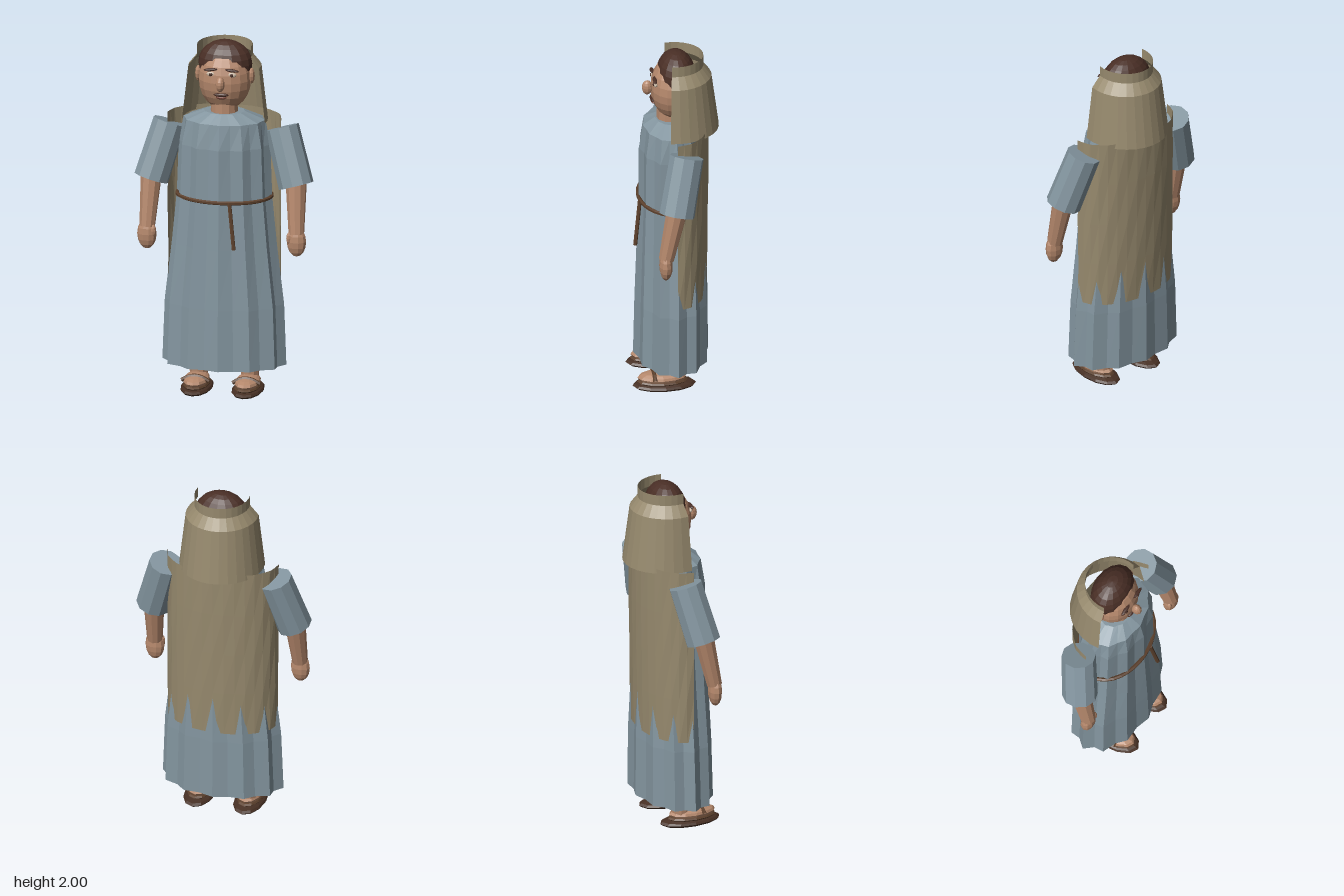
import * as THREE from 'three';

const mat = (color, side = THREE.FrontSide) =>
  new THREE.MeshStandardMaterial({ color, side, flatShading: true });
const robeMat = mat(0x8496a0, THREE.DoubleSide);
const clothMat = mat(0x978a6e, THREE.DoubleSide);
const skin = mat(0xb5886c);
const hairMat = mat(0x4a2f26);
const leather = mat(0x5c402c);
const soleMat = mat(0x473024);
const eyeMat = mat(0xc9b8a4);
const lipMat = mat(0x7d4a3c);

function add(parent, name, geo, material, pos = [0, 0, 0], scale = [1, 1, 1]) {
  const m = new THREE.Mesh(geo, material);
  m.name = name;
  m.position.set(...pos);
  m.scale.set(...scale);
  parent.add(m);
  return m;
}

const ball = (parent, name, material, pos, scale, w = 12, h = 8) =>
  add(parent, name, new THREE.SphereGeometry(1, w, h), material, pos, scale);

// Tapered cylinder between two points
function limb(parent, name, material, a, b, ra, rb, sides = 10) {
  const A = new THREE.Vector3(...a), B = new THREE.Vector3(...b);
  const m = add(parent, name, new THREE.CylinderGeometry(ra, rb, A.distanceTo(B), sides), material);
  m.position.copy(A).add(B).multiplyScalar(0.5);
  m.quaternion.setFromUnitVectors(new THREE.Vector3(0, 1, 0), A.sub(B).normalize());
  return m;
}

// Skin over rings [y, rx, rz, zCentre], bottom to top; angle 0 faces the front
function loft(rings, start, sweep, segs, fold = () => 1, capped = false) {
  const pos = [], idx = [], n = segs + 1;
  rings.forEach(([y, rx, rz, zc], r) => {
    for (let i = 0; i <= segs; i++) {
      const t = start + (sweep * i) / segs, f = fold(i, r);
      pos.push(Math.sin(t) * rx * f, y, zc + Math.cos(t) * rz * f);
    }
    if (!r) return;
    for (let i = 0; i < segs; i++) {
      const a = (r - 1) * n + i, b = a + 1, c = a + n, d = c + 1;
      idx.push(a, b, d, a, d, c);
    }
  });
  if (capped) [0, rings.length - 1].forEach((r) => {
    const centre = pos.length / 3;
    pos.push(0, rings[r][0], rings[r][3]);
    for (let i = 0; i < segs; i++) {
      const a = r * n + i;
      if (r) idx.push(a, a + 1, centre); else idx.push(a + 1, a, centre);
    }
  });
  const g = new THREE.BufferGeometry();
  g.setAttribute('position', new THREE.Float32BufferAttribute(pos, 3));
  g.setIndex(idx);
  g.computeVertexNormals();
  return g;
}

function buildHead() {
  const head = new THREE.Group();
  head.name = 'head';
  add(head, 'neck', new THREE.CylinderGeometry(0.073, 0.078, 0.12, 12), skin, [0, 1.61, 0.02]);
  ball(head, 'face', skin, [0, 1.785, 0.005], [0.146, 0.178, 0.124], 16, 12);
  ball(head, 'hair', hairMat, [0, 1.87, -0.012], [0.15, 0.13, 0.106], 16, 12);
  ball(head, 'nose', skin, [0, 1.79, 0.146], [0.025, 0.042, 0.03], 10, 8);
  ball(head, 'upperLip', hairMat, [0, 1.722, 0.118], [0.042, 0.011, 0.014]);
  ball(head, 'lowerLip', lipMat, [0, 1.706, 0.113], [0.03, 0.011, 0.014]);
  for (const s of [-1, 1]) {
    ball(head, 'ear', skin, [s * 0.148, 1.805, 0], [0.018, 0.045, 0.028], 8, 6);
    ball(head, 'eye', eyeMat, [s * 0.058, 1.836, 0.108], [0.026, 0.014, 0.012], 10, 6);
    ball(head, 'iris', hairMat, [s * 0.058, 1.836, 0.118], [0.01, 0.01, 0.006], 8, 6);
    const brow = ball(head, 'eyebrow', hairMat, [s * 0.06, 1.862, 0.112], [0.04, 0.009, 0.012], 8, 6);
    brow.rotation.z = -s * 0.1;
  }
  return head;
}

function buildArm(s) {
  const arm = new THREE.Group();
  arm.name = s > 0 ? 'leftArm' : 'rightArm';
  limb(arm, 'sleeve', robeMat, [s * 0.312, 1.51, -0.03], [s * 0.403, 1.2, 0.037], 0.094, 0.098);
  limb(arm, 'forearm', skin, [s * 0.402, 1.25, 0.032], [s * 0.415, 0.94, 0.097], 0.06, 0.043);
  ball(arm, 'hand', skin, [s * 0.416, 0.9, 0.1], [0.054, 0.086, 0.037], 10, 8);
  ball(arm, 'thumb', skin, [s * 0.378, 0.92, 0.115], [0.016, 0.036, 0.016], 8, 6);
  return arm;
}

function buildFoot(s) {
  const foot = new THREE.Group();
  foot.name = s > 0 ? 'leftFoot' : 'rightFoot';
  const x = s * 0.142;
  limb(foot, 'ankle', skin, [x, 0.24, 0.015], [x, 0.07, 0.015], 0.054, 0.05);
  ball(foot, 'sole', soleMat, [x, 0.032, 0.072], [0.088, 0.028, 0.176]);
  ball(foot, 'sandalBed', leather, [x, 0.055, 0.082], [0.073, 0.022, 0.14]);
  ball(foot, 'footTop', skin, [x, 0.078, 0.085], [0.07, 0.034, 0.135]);
  // strap bowed over the instep
  const bow = new THREE.CatmullRomCurve3([-0.075, -0.04, 0, 0.04, 0.075].map(
    (d) => new THREE.Vector3(x + d, 0.108 - d * d * 5, 0.13)));
  add(foot, 'strap', new THREE.TubeGeometry(bow, 8, 0.012, 6), leather);
  return foot;
}

export function createModel() {
  const g = new THREE.Group();
  g.name = 'robedFigure';

  // Pleated robe: alternate points stand out as folds, softer at the neck
  const robe = [
    [0.165, 0.345, 0.207, 0.018], [0.51, 0.332, 0.202, 0.015], [0.85, 0.292, 0.191, 0.014],
    [1.13, 0.265, 0.182, 0.013], [1.42, 0.255, 0.18, 0.013], [1.56, 0.228, 0.158, 0.013],
    [1.605, 0.115, 0.09, 0.015],
  ];
  add(g, 'robe', loft(robe, 0, Math.PI * 2, 24,
    (i, r) => (i % 2 ? (r < 5 ? 0.91 : 0.95) : 1), true), robeMat);

  // Cloak hanging over the back
  const cloak = [
    [0.565, 0.313, 0.196, 0.02], [0.82, 0.315, 0.202, 0.02], [1.07, 0.316, 0.206, 0.02],
    [1.32, 0.316, 0.209, 0.02], [1.577, 0.317, 0.21, 0.02],
  ];
  add(g, 'cloak', loft(cloak, Math.PI / 2, Math.PI, 16,
    (i, r) => 1 - 0.012 * ((i + r) % 2)), clothMat);

  // Head cloth with its upright band
  const headCloth = [
    [1.55, 0.235, 0.248, 0], [1.86, 0.2, 0.207, 0], [1.92, 0.152, 0.163, 0], [1.98, 0.152, 0.163, 0],
  ];
  add(g, 'headCloth', loft(headCloth, Math.PI / 2 - 0.19, Math.PI + 0.38, 16), clothMat);

  // Rope belt and its loose end
  const loop = [];
  for (let i = 0; i < 24; i++) {
    const t = (i / 24) * Math.PI * 2;
    loop.push(new THREE.Vector3(Math.sin(t) * 0.262, 1.125, 0.012 + Math.cos(t) * 0.184));
  }
  add(g, 'belt', new THREE.TubeGeometry(new THREE.CatmullRomCurve3(loop, true), 32, 0.011, 6, true), leather);
  limb(g, 'beltEnd', leather, [0.06, 1.13, 0.195], [0.09, 0.87, 0.225], 0.011, 0.011, 6);

  g.add(buildHead());
  for (const s of [-1, 1]) g.add(buildArm(s), buildFoot(s));
  return g;
}
